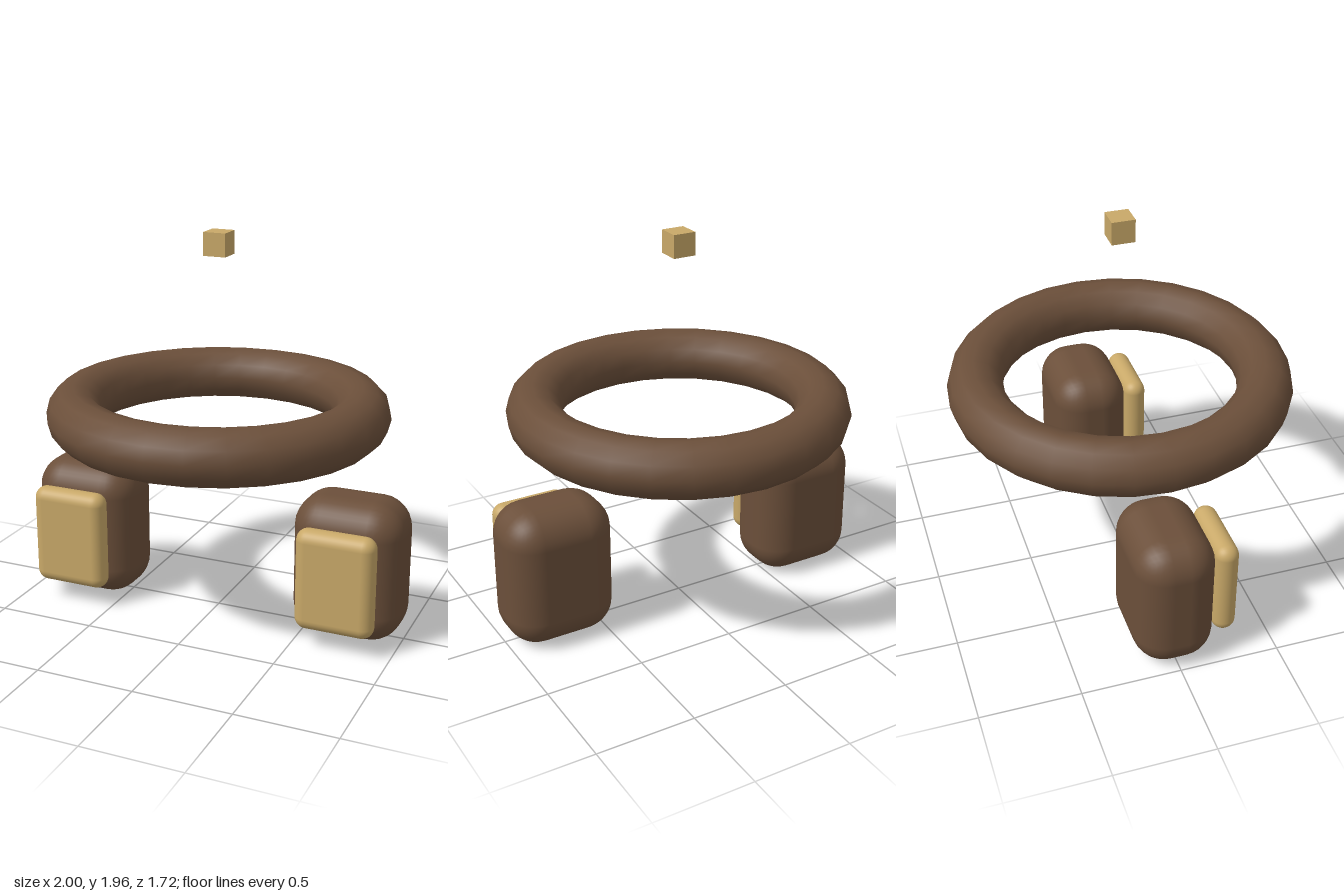
import * as THREE from 'three';
import { RoundedBoxGeometry } from 'three/addons/geometries/RoundedBoxGeometry.js';

export function createModel() {
  const brown = new THREE.MeshStandardMaterial({ color: 0x6b4f3a });
  brown.name = 'brown';
  const tan = new THREE.MeshStandardMaterial({ color: 0xc8a868 });
  tan.name = 'tan';

  const model = new THREE.Group();
  model.name = 'floatingRingSet';

  const add = (name, geometry, material, x, y, z) => {
    const mesh = new THREE.Mesh(geometry, material);
    mesh.name = name;
    mesh.position.set(x, y, z);
    model.add(mesh);
    return mesh;
  };

  // Horizontal ring
  const ring = new THREE.TorusGeometry(0.72, 0.139, 12, 28).rotateX(Math.PI / 2);
  add('ring', ring, brown, 0, 1.065, 0);

  // Small cube hovering above the ring
  add('topCube', new THREE.BoxGeometry(0.115, 0.115, 0.115), tan, 0, 1.905, 0);

  // Rounded blocks, each with a padded panel on its front
  const block = new RoundedBoxGeometry(0.56, 0.72, 0.4, 4, 0.16);
  const panel = new RoundedBoxGeometry(0.4, 0.52, 0.12, 4, 0.06);
  for (const [side, s] of [['left', 1], ['right', -1]]) {
    add(side + 'Block', block, brown, s * 0.72, 0.36, 0);
    add(side + 'FrontPanel', panel, tan, s * 0.72, 0.36, 0.26);
  }

  return model;
}
